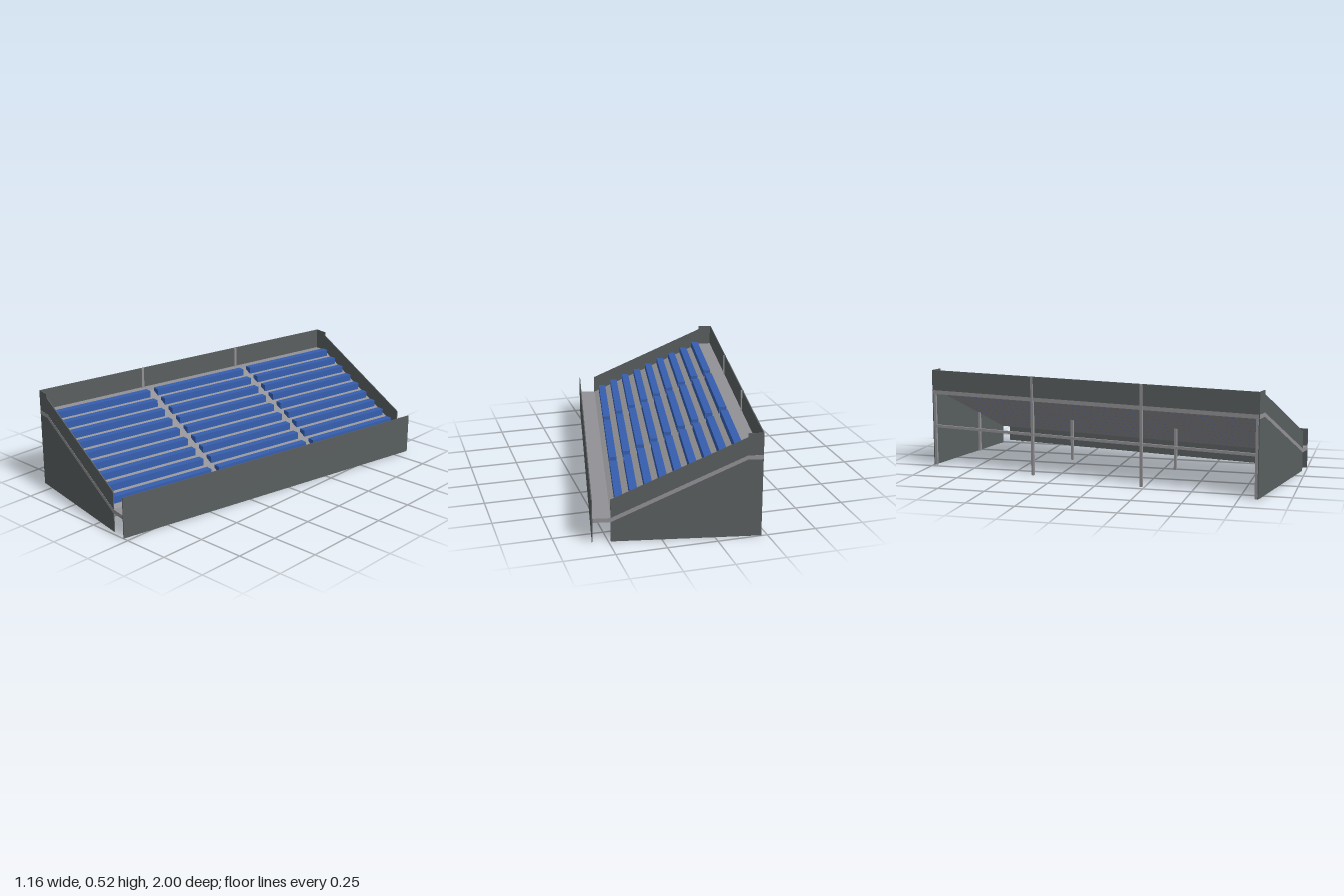
import * as THREE from 'three';

const material = (name, color) => {
  const m = new THREE.MeshStandardMaterial({ color });
  m.name = name;
  return m;
};

export function createModel() {
  const concrete = material('light grey', 0x929296);
  const cladding = material('dark grey', 0x595e5f);
  const blue = material('seat blue', 0x365eae);

  const model = new THREE.Group();
  model.name = 'grandstand';
  const stand = new THREE.Group();
  stand.name = 'stand';
  stand.rotation.y = -0.192; // the stand sits at an angle to the frame
  model.add(stand);

  const BACK = -0.4065, FRONT = 0.4065, HALF = 0.9375, SKIN = 0.005;
  const TOP = 0.525;

  const add = (name, geometry, mat, x, y, z) => {
    const mesh = new THREE.Mesh(geometry, mat);
    mesh.name = name;
    mesh.position.set(x, y, z);
    stand.add(mesh);
    return mesh;
  };
  // box given by its ranges on each axis
  const box = (name, mat, [x0, x1], [y0, y1], [z0, z1]) =>
    add(name, new THREE.BoxGeometry(x1 - x0, y1 - y0, z1 - z0), mat,
      (x0 + x1) / 2, (y0 + y1) / 2, (z0 + z1) / 2);
  // side profile pulled along the length
  const profile = (points, depth) => new THREE.ExtrudeGeometry(
    new THREE.Shape(points.map(([x, y]) => new THREE.Vector2(x, y))),
    { depth, bevelEnabled: false });

  // sloping deck with a flat walkway at the top and bottom
  const deckTop = [[BACK, 0.415], [-0.332, 0.415], [0.315, 0.122], [FRONT - SKIN, 0.122]];
  const deckBottom = deckTop.map(([x, y]) => [x, y - 0.021]).reverse();
  const deckLength = 2 * HALF + 0.002;
  add('deck', profile([...deckTop, ...deckBottom], deckLength), concrete, 0, 0, -deckLength / 2);

  // end panels
  const panel = profile([[BACK, 0], [0.316, 0], [0.316, 0.215], [-0.331, 0.505],
    [-0.331, TOP], [BACK, TOP]], SKIN);
  add('leftEndPanel', panel, cladding, 0, 0, HALF - SKIN);
  add('rightEndPanel', panel, cladding, 0, 0, -HALF);

  // long walls
  box('frontWall', cladding, [FRONT - SKIN, FRONT], [0, 0.215], [-HALF, HALF]);
  box('backWall', cladding, [BACK, BACK + SKIN], [0.415, TOP], [-HALF + SKIN, HALF - SKIN]);

  // bench rows, in three blocks with aisles between
  const bench = new THREE.BoxGeometry(0.039, 0.04, 0.58);
  for (let row = 0; row < 9; row++) {
    for (const z of [-0.627, 0, 0.627]) {
      add('bench', bench, blue, -0.305 + row * 0.0717, 0.41 - row * 0.0325, z);
    }
  }

  // supporting posts
  const w = 0.007;
  for (const z of [-0.925, -0.314, 0.314, 0.925]) {
    const inner = Math.abs(z) < 0.5;
    box('backPost', concrete, [-0.402 - (inner ? w : 0.004), -0.402 + w],
      [0, inner ? TOP - 0.001 : 0.4], [z - w, z + w]);
    box('middlePost', concrete, [0.042 - w, 0.042 + w], [0, 0.232], [z - w, z + w]);
  }

  // brace along the back
  box('backBrace', concrete, [-0.405, -0.393], [0.21, 0.224], [-HALF + SKIN, HALF - SKIN]);

  return model;
}
